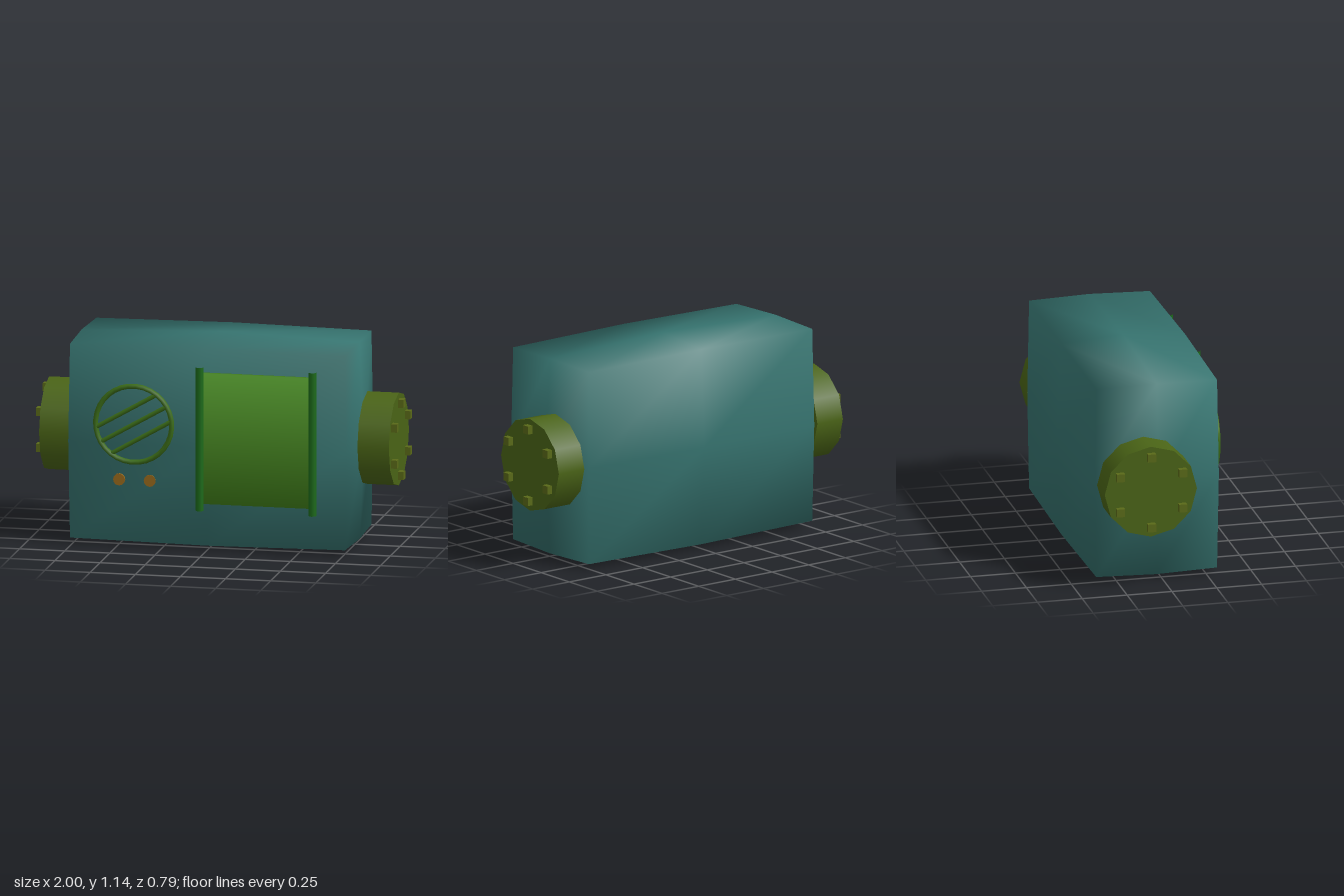
import * as THREE from 'three';
import { mergeVertices } from 'three/addons/utils/BufferGeometryUtils.js';

const CY = 0.57;
const paint = (color) => new THREE.MeshStandardMaterial({ color });

export function createModel() {
  const model = new THREE.Group();
  model.name = 'cabinet';
  const teal = paint(0x36736f);
  const hubGreen = paint(0x4a6416);
  const boltGreen = paint(0x5a6a18);
  const grilleGreen = paint(0x3c6e18);
  const railGreen = paint(0x1c6a1a);
  const panelGreen = paint(0x44861a);
  const orange = paint(0x9a6a1c);

  const add = (name, geometry, material, x, y, z, parent = model) => {
    const mesh = new THREE.Mesh(geometry, material);
    mesh.name = name;
    mesh.position.set(x, y, z);
    parent.add(mesh);
  };

  // Bulged body: a 2x2x2 box, pushed out at edge middles and face centres
  let body = new THREE.BoxGeometry(2, 2, 2, 2, 2, 2);
  body.deleteAttribute('uv');
  body.deleteAttribute('normal');
  body = mergeVertices(body);
  const half = [0.762, 0.537, 0.337];
  const bulge = [0.033, 0.008, 0];
  const p = body.attributes.position;
  for (let i = 0; i < p.count; i++) {
    const s = [p.getX(i), p.getY(i), p.getZ(i)].map(Math.round);
    const count = s.filter((v) => v !== 0).length;
    p.setXYZ(i, ...s.map((v, k) => v * (half[k] + bulge[count - 1])));
  }
  body.computeVertexNormals();
  add('body', body, teal, 0, CY, -0.027);

  // Side hubs with six square bolts each
  for (const side of [-1, 1]) {
    const hub = new THREE.Group();
    hub.name = side > 0 ? 'leftHub' : 'rightHub';
    hub.position.set(0, CY, -0.11);
    model.add(hub);
    const disc = new THREE.CylinderGeometry(0.257, 0.257, 0.174, 12);
    disc.rotateZ(-side * Math.PI / 2);
    add('hubDisc', disc, hubGreen, side * 0.882, 0, 0, hub);
    for (let i = 0; i < 6; i++) {
      const a = i * Math.PI / 3;
      add('bolt', new THREE.BoxGeometry(0.05, 0.045, 0.045), boltGreen,
        side * 0.975, 0.2 * Math.cos(a), 0.2 * Math.sin(a), hub);
    }
  }

  // Round grille: ring with three slanted bars
  const grille = new THREE.Group();
  grille.name = 'grille';
  grille.position.set(-0.4, 0.687, 0.353);
  grille.rotation.z = Math.PI / 6;
  model.add(grille);
  add('grilleRing', new THREE.TorusGeometry(0.211, 0.014, 6, 32), grilleGreen, 0, 0, 0, grille);
  for (const y of [-0.083, 0, 0.083]) {
    const length = 2 * Math.sqrt(0.212 ** 2 - y ** 2);
    const bar = new THREE.CylinderGeometry(0.012, 0.012, length, 8);
    bar.rotateZ(Math.PI / 2);
    add('grilleBar', bar, grilleGreen, 0, y, 0, grille);
  }

  // Two round buttons, almost flush with the body
  for (const x of [-0.485, -0.315]) {
    const button = new THREE.CylinderGeometry(0.033, 0.033, 0.04, 12);
    button.rotateX(Math.PI / 2);
    add('button', button, orange, x, 0.373, 0.316);
  }

  // Door panel: four-sided sleeve, softly shaded around its top and bottom
  const panel = new THREE.CylinderGeometry(Math.SQRT2, Math.SQRT2, 0.61, 4, 1, true, Math.PI / 4);
  panel.rotateZ(Math.PI / 2);
  const q = panel.attributes.position;
  for (let i = 0; i < q.count; i++) {
    q.setXYZ(i, q.getX(i), q.getY(i) * 0.3625, q.getZ(i) * 0.009);
  }
  add('doorPanel', panel, panelGreen, 0.285, 0.6275, 0.352);

  // Open-ended rails on both sides of the door, with thin hinge rods behind
  for (const x of [-0.03, 0.595]) {
    add('doorRail', new THREE.CylinderGeometry(0.022, 0.022, 0.795, 8, 1, true), railGreen, x, 0.6275, 0.375);
    add('hingeRod', new THREE.CylinderGeometry(0.01, 0.01, 0.66, 8, 1, true), boltGreen, x, 0.63, 0.324);
  }
  return model;
}
